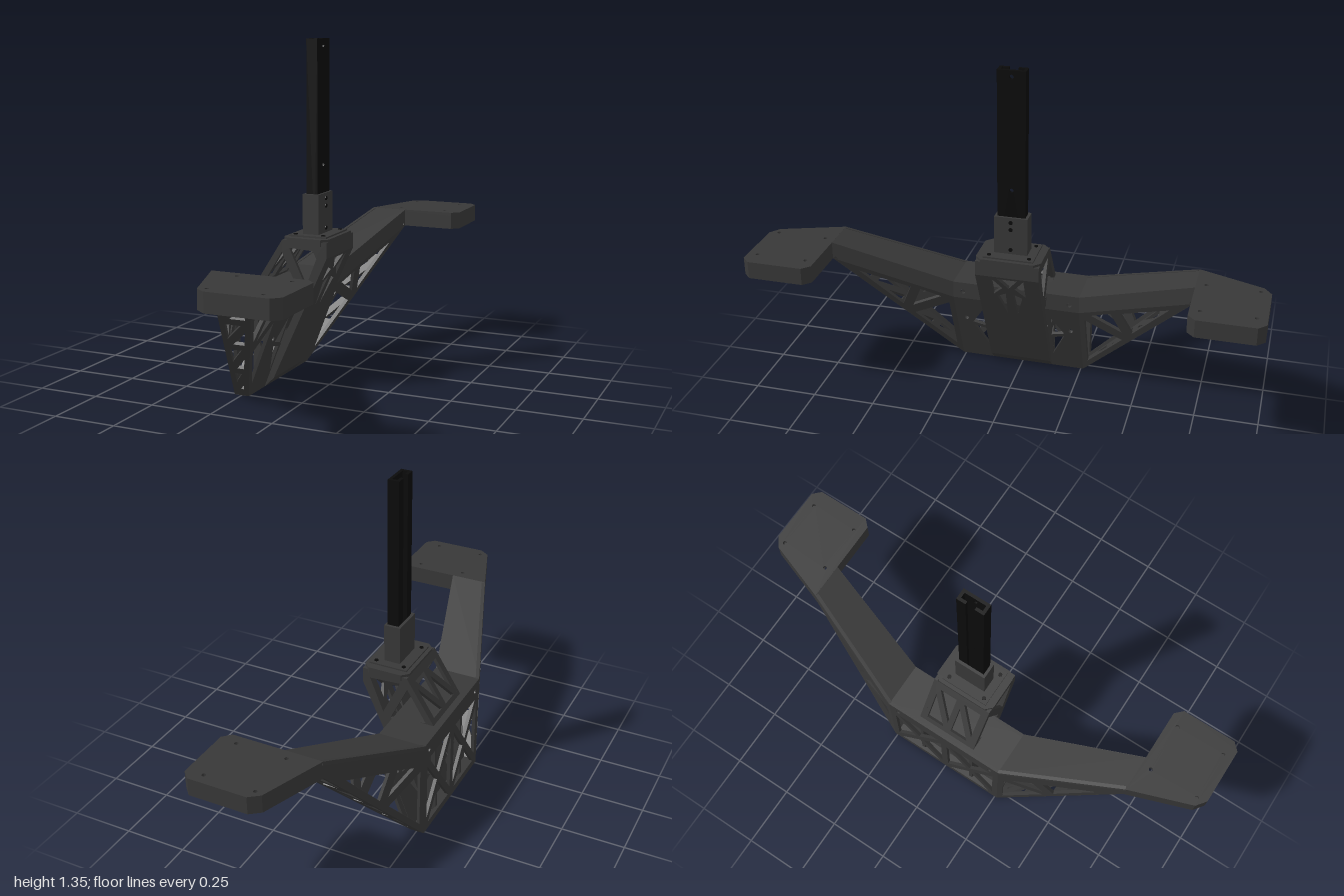
import * as THREE from 'three';

const dark = new THREE.MeshStandardMaterial({ color: 0x383838 });
const black = new THREE.MeshStandardMaterial({ color: 0x0b0b0b });
const V = (x, y, z) => new THREE.Vector3(x, y, z);
const T = 0.014; // sheet thickness

// Flat sheet: a 2D outline with holes, placed by the affine map fn(p, q) -> point.
// The sheet is thickened by t along U x W (negative t = the other way).
function panel(parent, name, fn, outline, holes = [], t = T, mat = dark) {
  const pts = (list) => list.map(([p, q]) => new THREE.Vector2(p, q));
  const shape = new THREE.Shape(pts(outline));
  for (const h of holes) if (h) shape.holes.push(new THREE.Path(pts(h)));
  const geo = new THREE.ExtrudeGeometry(shape, { depth: Math.abs(t), bevelEnabled: false });
  if (t < 0) geo.translate(0, 0, t);
  const o = fn(0, 0);
  const u = fn(1, 0).sub(o);
  const w = fn(0, 1).sub(o);
  const n = u.clone().cross(w).normalize();
  geo.applyMatrix4(new THREE.Matrix4().makeBasis(u, w, n).setPosition(o));
  const mesh = new THREE.Mesh(geo, mat);
  mesh.name = name;
  parent.add(mesh);
  return mesh;
}

// Triangle shrunk toward its incentre so that a strut of half-width w remains
function inset([A, B, C], w) {
  const d = (p, q) => Math.hypot(p[0] - q[0], p[1] - q[1]);
  const a = d(B, C), b = d(C, A), c = d(A, B), s = a + b + c;
  const area = Math.abs((B[0] - A[0]) * (C[1] - A[1]) - (C[0] - A[0]) * (B[1] - A[1])) / 2;
  const k = 1 - w / ((2 * area) / s);
  if (k < 0.1) return null;
  const I = [0, 1].map((i) => (a * A[i] + b * B[i] + c * C[i]) / s);
  return [A, B, C].map((p) => [I[0] + (p[0] - I[0]) * k, I[1] + (p[1] - I[1]) * k]);
}

// Triangular openings between two rails of nodes
function zigzag(a, b, w) {
  const out = [];
  for (let i = 0; i < a.length - 1; i++) {
    out.push(inset([a[i], b[i], b[i + 1]], w), inset([a[i], b[i + 1], a[i + 1]], w));
  }
  return out;
}

// Four triangular openings around an X brace
function cross(c, w) {
  const m = [0, 1].map((i) => (c[0][i] + c[1][i] + c[2][i] + c[3][i]) / 4);
  return c.map((p, i) => inset([p, c[(i + 1) % 4], m], w));
}

const circle = (x, y, r) => Array.from({ length: 12 }, (_, i) =>
  [x + r * Math.cos((i * Math.PI) / 6), y + r * Math.sin((i * Math.PI) / 6)]);
const rect = (a, b, c, d) => [[a, b], [c, b], [c, d], [a, d]];
const both = (list) => list.flatMap((h) => [h, h && h.map(([p, q]) => [-p, q])]);

function makeArm(s) {
  const arm = new THREE.Group();
  arm.name = s > 0 ? 'leftArm' : 'rightArm';
  const add = (name, fn, outline, holes, t) =>
    panel(arm, name, (p, q) => { const v = fn(p, q); v.z *= s; return v; }, outline, holes, t * s);
  const outerX = (z) => -0.28 + 0.37 * (z - 0.26);

  // truss walls and sloping top of the arm
  const web = [
    inset([[0.26, 0], [0.26, 0.34], [0.47, 0.24]], 0.022),
    inset([[0.27, 0.34], [0.47, 0.24], [0.4, 0.395]], 0.017),
    inset([[0.4, 0.395], [0.47, 0.24], [0.7, 0.51]], 0.022),
  ];
  add('outerTruss', (z, y) => V(outerX(z), y, z),
    [[0.26, 0], [0.72, 0.52], [0.72, 0.59], [0.26, 0.41]], web, -T);
  add('innerTruss', (z, y) => V(-0.22 + 0.382 * y + 0.133 * (z - 0.26), y, z),
    [[0.26, 0], [0.72, 0.52], [0.26, 0.34]], web, T);
  add('innerRail', (z, y) => V(-0.09 + 0.283 * (z - 0.26), y, z),
    [[0.26, 0.34], [0.72, 0.52], [0.72, 0.59], [0.26, 0.41]], [], T);
  add('armTop', (x, z) => V(x, 0.41 + 0.391 * (z - 0.26), z),
    [[-0.28, 0.26], [-0.09, 0.26], [0.04, 0.72], [-0.11, 0.72]], [], T);
  const nodes = [0.28, 0.38, 0.49, 0.6, 0.71];
  add('undersideTruss', (x, z) => V(x, 1.13 * (z - 0.26), z),
    [[-0.28, 0.26], [-0.22, 0.26], [0.04, 0.72], [-0.11, 0.72]],
    zigzag(nodes.map((z) => [outerX(z) + 0.008, z]),
      nodes.map((z) => [-0.228 + 0.565 * (z - 0.26), z]), 0.012), -T);

  // pad at the arm's end: top plate, rim and braced underside
  const pad = [[-0.11, 0.72], [0.25, 0.72], [0.28, 0.75], [0.28, 0.97],
    [0.25, 1], [0.02, 1], [-0.02, 0.97]];
  const screws = [[0.01, 0.76], [0.21, 0.76], [0.01, 0.96], [0.21, 0.96]]
    .map(([x, z]) => circle(x, z, 0.008));
  const inner = pad.map(([x, z]) => [0.11 + (x - 0.11) * 0.9, 0.86 + (z - 0.86) * 0.9]);
  add('padTop', (x, z) => V(x, 0.59, z), pad, screws, T);
  add('padRim', (x, z) => V(x, 0.521, z), pad, [inner], -0.06);
  add('padBraces', (x, z) => V(x, 0.52, z), pad,
    cross([[-0.07, 0.735], [0.265, 0.735], [0.265, 0.985], [0.01, 0.985]], 0.014), -T);
  return arm;
}

function makeBase() {
  const g = new THREE.Group();
  g.name = 'baseFrame';
  const bolts = both([circle(0.22, 0.37, 0.01)]);
  panel(g, 'backPanel', (z, y) => V(-0.28, y, z), rect(-0.26, 0, 0.26, 0.41),
    [...bolts, ...both(cross(rect(0, 0.015, 0.25, 0.345), 0.014))], -T);
  panel(g, 'frontPanel', (z, y) => V(-0.22 + 0.382 * y, y, z), rect(-0.26, 0, 0.26, 0.34),
    both([circle(0.22, 0.225, 0.01),
      inset([[0.13, 0.04], [0.13, 0.18], [0.205, 0.2]], 0.008),
      inset([[0.13, 0.18], [0.13, 0.32], [0.205, 0.2]], 0.008)]), T);
  panel(g, 'frontRail', (z, y) => V(-0.09, y, z), rect(-0.26, 0.34, 0.26, 0.41), bolts, T);
  panel(g, 'deck', (x, z) => V(x, 0.41, z), rect(-0.28, -0.26, -0.09, 0.26), [], T);
  panel(g, 'floor', (x, z) => V(x, 0, z), rect(-0.28, -0.26, -0.22, 0.26), [], -T);
  return g;
}

function makeColumn() {
  const g = new THREE.Group();
  g.name = 'leaningColumn';
  // braced side walls
  const back = [[-0.14, 0.58], [-0.25, 0.4], [-0.27, 0.2], [-0.27, 0.02]];
  const front = [[0.04, 0.57], [-0.04, 0.37], [-0.12, 0.2], [-0.2, 0.02]];
  for (const s of [1, -1]) {
    panel(g, 'columnSide', (x, y) => V(x, y, 0.127 * s),
      [[-0.27, 0], [-0.22, 0], [-0.18, 0.04], [0.045, 0.53], [0.045, 0.59],
        [-0.14, 0.59], [-0.26, 0.4]], zigzag(back, front, 0.018), -T * s);
  }
  // front wall with openings near the top, foot and lip
  panel(g, 'columnFront', (z, y) => V(-0.18 + 0.459 * (y - 0.04), y, z),
    rect(-0.127, 0.04, 0.127, 0.53),
    [...both([[[0.065, 0.52], [0.065, 0.43], [0.025, 0.47]], [[0.05, 0.42], [0.02, 0.32], [0.015, 0.44]]]),
      [[-0.04, 0.52], [0.04, 0.52], [0, 0.47]]], T);
  panel(g, 'columnLip', (z, y) => V(0.045, y, z), rect(-0.127, 0.53, 0.127, 0.59), [], T);
  panel(g, 'columnFoot', (z, y) => V(-0.22 + y, y, z), rect(-0.127, 0, 0.127, 0.04), [], T);
  // sloping braced back
  panel(g, 'columnBack', (z, y) => V(-0.14 + 0.63 * (y - 0.59), y, z),
    rect(-0.127, 0.4, 0.127, 0.59),
    zigzag([[-0.11, 0.575], [0, 0.575], [0.11, 0.575]], [[-0.11, 0.415], [0, 0.415], [0.11, 0.415]], 0.012), -T);
  // cap plate
  const cap = [[-0.115, -0.13], [0.02, -0.13], [0.045, -0.105], [0.045, 0.105],
    [0.02, 0.13], [-0.115, 0.13], [-0.14, 0.105], [-0.14, -0.105]];
  panel(g, 'capPlate', (x, z) => V(x, 0.6, z), cap, [], 0.025);
  return g;
}

function makeMast() {
  const g = new THREE.Group();
  g.name = 'mast';
  const flat = (y) => (x, z) => V(x, y, z);
  // channel open to the back, with drilled front wall
  panel(g, 'railFront', (z, y) => V(-0.025, y, z), rect(-0.055, 0.6, 0.055, 1.345),
    [circle(0, 0.87, 0.009), circle(0, 1.32, 0.009)], 0.012, black);
  for (const s of [1, -1]) {
    panel(g, 'railSide', flat(1.345),
      [[-0.037, 0.055], [-0.037, 0.043], [-0.058, 0.043], [-0.058, 0.018], [-0.07, 0.018], [-0.07, 0.055]]
        .map(([x, z]) => [x, z * s]), [], 0.745, black);
  }
  // socket, flange and screws
  panel(g, 'socket', flat(0.76), rect(-0.082, -0.066, -0.016, 0.066),
    [rect(-0.07, -0.055, -0.025, 0.055)], 0.16);
  panel(g, 'socketFlange', flat(0.606), rect(-0.125, -0.1, 0.03, 0.1), [], 0.01);
  const screw = (x, y, z, side) => {
    const m = new THREE.Mesh(new THREE.CylinderGeometry(0.008, 0.008, 0.006, 12), black);
    m.name = 'screw';
    m.position.set(x, y, z);
    if (side) m.rotation.z = Math.PI / 2;
    g.add(m);
  };
  for (const y of [0.625, 0.71, 0.74]) screw(-0.015, y, 0, true);
  for (const x of [-0.105, 0.01]) for (const z of [-0.08, 0.08]) screw(x, 0.606, z, false);
  return g;
}

export function createModel() {
  const model = new THREE.Group();
  model.name = 'bracketWithMast';
  model.add(makeBase(), makeColumn(), makeMast(), makeArm(1), makeArm(-1));
  return model;
}
